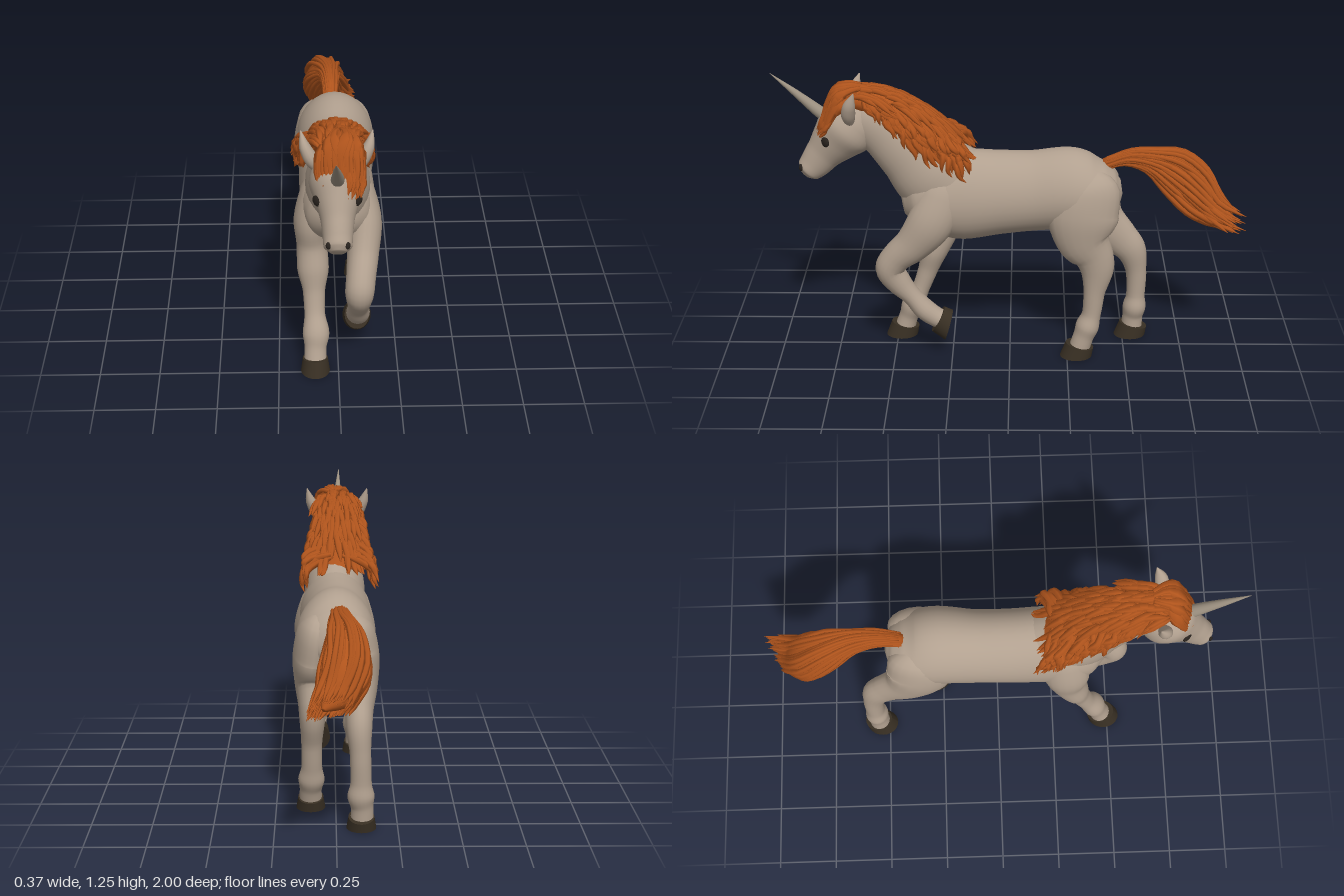
import * as THREE from 'three';
import { mergeGeometries } from 'three/addons/utils/BufferGeometryUtils.js';

const mat = (name, color) => {
  const m = new THREE.MeshStandardMaterial({ color });
  m.name = name;
  return m;
};

// Smooth closed skin through oval stations [x, y, z, radiusX, radiusN]; egg narrows the upper side.
function loft(stations, steps = 5, sides = 24, egg = 0) {
  const path = new THREE.CatmullRomCurve3(stations.map(s => new THREE.Vector3(s[0], s[1], s[2])));
  const radii = new THREE.CatmullRomCurve3(stations.map(s => new THREE.Vector3(s[3], s[4], 0)));
  const rings = (stations.length - 1) * steps, pos = [], index = [];
  for (let i = 0; i <= rings; i++) {
    const t = i / rings, c = path.getPoint(t), r = radii.getPoint(t), T = path.getTangent(t);
    const S = new THREE.Vector3(1, 0, 0).addScaledVector(T, -T.x).normalize();
    const N = new THREE.Vector3().crossVectors(T, S);
    for (let j = 0; j < sides; j++) {
      const a = j / sides * Math.PI * 2, sin = Math.sin(a);
      const p = c.clone()
        .addScaledVector(S, Math.cos(a) * Math.max(r.x, 0.001) * (1 - egg * sin))
        .addScaledVector(N, sin * Math.max(r.y, 0.001));
      pos.push(p.x, p.y, p.z);
      if (i < rings) {
        const k = (j + 1) % sides, u = i * sides, v = u + sides;
        index.push(u + j, u + k, v + k, u + j, v + k, v + j);
      }
    }
  }
  // end caps
  const first = pos.length / 3, a = path.getPoint(0), b = path.getPoint(1), last = rings * sides;
  pos.push(a.x, a.y, a.z, b.x, b.y, b.z);
  for (let j = 0; j < sides; j++) {
    const k = (j + 1) % sides;
    index.push(first, k, j, first + 1, last + j, last + k);
  }
  const g = new THREE.BufferGeometry();
  g.setAttribute('position', new THREE.Float32BufferAttribute(pos, 3));
  g.setIndex(index);
  g.computeVertexNormals();
  return g;
}

export function createModel() {
  const root = new THREE.Group();
  const coat = mat('coat', 0xb1a08f), hair = mat('hair', 0xb0541c), hoofMat = mat('hoof', 0x382f23);
  const hornMat = mat('horn', 0x9c9080), dark = mat('eyeDark', 0x29231e);
  let seed = 7;
  const rnd = () => (seed = (seed * 16807) % 2147483647) / 2147483647;
  const add = (name, geo, material, parent = root) => {
    const m = new THREE.Mesh(geo, material);
    m.name = name;
    parent.add(m);
    return m;
  };

  // Torso and neck
  add('torso', loft([
    [0, .755, -.475, .03, .03], [0, .752, -.455, .085, .075], [0, .748, -.41, .135, .117],
    [0, .745, -.35, .156, .152], [0, .75, -.25, .163, .177], [-.005, .735, -.1, .153, .175],
    [-.005, .727, .05, .153, .185], [0, .72, .2, .155, .2], [0, .715, .32, .15, .175],
    [0, .70, .4, .125, .135], [0, .69, .455, .06, .065],
  ], 5, 32, .1), coat);
  add('neck', loft([
    [0, .72, .18, .13, .19], [0, .81, .32, .133, .18], [0, .91, .42, .107, .147],
    [-.005, 1.0, .52, .085, .122], [-.01, 1.06, .61, .075, .1], [-.01, 1.09, .66, .04, .05],
  ], 5, 28), coat);

  // Head
  const head = new THREE.Group();
  head.name = 'head';
  head.position.x = -.012;
  root.add(head);
  add('skull', loft([
    [0, 1.1, .59, .04, .04], [0, 1.06, .64, .09, .105], [0, 1.01, .69, .108, .126],
    [0, .955, .74, .086, .104], [0, .9, .788, .065, .079], [0, .853, .826, .058, .068],
    [0, .823, .856, .054, .056], [0, .807, .872, .028, .03],
  ], 5, 28), coat, head);
  add('horn', loft([
    [0, 1.04, .745, .03, .03], [0, 1.09, .808, .025, .025], [-.005, 1.165, .898, .015, .015], [-.01, 1.247, 1, .001, .001],
  ], 4, 14), hornMat, head);
  for (const s of [-1, 1]) {
    const eye = add('eye', new THREE.SphereGeometry(.025, 16, 12), dark, head);
    eye.scale.set(.4, .9, 1);
    eye.position.set(s * .0755, .975, .772);
    eye.rotation.y = -s * .8;
    const nostril = add('nostril', new THREE.SphereGeometry(.014, 12, 8), dark, head);
    nostril.scale.set(.75, 1.1, .6);
    nostril.position.set(s * .037, .845, .884);
    nostril.rotation.y = s * .6;
    add('ear', loft([
      [s * .075, 1.06, .665, .02, .02], [s * .1, 1.105, .668, .028, .03],
      [s * .122, 1.15, .66, .022, .026], [s * .137, 1.208, .64, .002, .002],
    ], 4, 14), coat, head);
  }

  // Legs, from inside the shoulder or hip down to the pastern
  const legs = {
    frontRightLeg: [[-.05, .87, .26, .03, .03], [-.085, .76, .275, .064, .095], [-.108, .63, .29, .073, .1],
      [-.107, .51, .3, .064, .075], [-.103, .41, .335, .066, .062], [-.1, .32, .362, .047, .044],
      [-.098, .23, .395, .043, .039], [-.093, .15, .432, .056, .05], [-.096, .09, .453, .046, .042], [-.097, .03, .472, .048, .046]],
    frontLeftLeg: [[.05, .87, .26, .03, .03], [.085, .76, .28, .064, .095], [.107, .64, .33, .074, .1],
      [.102, .53, .41, .066, .08], [.092, .46, .485, .061, .066], [.086, .405, .515, .06, .063],
      [.085, .34, .48, .051, .055], [.085, .27, .42, .044, .041], [.085, .21, .37, .05, .046],
      [.085, .175, .325, .046, .044], [.085, .16, .295, .044, .042]],
    hindLeftLeg: [[.045, .85, -.32, .03, .04], [.08, .77, -.335, .077, .13], [.097, .66, -.31, .081, .152],
      [.1, .55, -.315, .07, .12], [.098, .47, -.36, .057, .085], [.097, .41, -.374, .053, .073], [.1, .3, -.364, .043, .046],
      [.1, .2, -.354, .043, .041], [.102, .14, -.337, .055, .051], [.105, .09, -.32, .046, .045],
      [.105, .03, -.302, .047, .046]],
    hindRightLeg: [[-.045, .85, -.32, .03, .04], [-.08, .77, -.335, .077, .13], [-.097, .67, -.335, .081, .145],
      [-.1, .56, -.39, .07, .112], [-.094, .48, -.475, .057, .083], [-.092, .42, -.528, .053, .068], [-.097, .32, -.555, .043, .046],
      [-.1, .2, -.557, .043, .041], [-.1, .14, -.553, .055, .051], [-.105, .09, -.547, .046, .045],
      [-.105, .03, -.543, .047, .046]],
  };
  for (const [name, stations] of Object.entries(legs)) add(name, loft(stations, 5, 20), coat);

  // Hooves: tapered drums leaning back, with the coronet falling towards the heel
  const hoofGeo = new THREE.CylinderGeometry(.053, .061, .064, 24, 1);
  const hp = hoofGeo.attributes.position;
  for (let i = 0; i < hp.count; i++) {
    const y = hp.getY(i), z = hp.getZ(i) * 1.14;
    if (y > 0) hp.setXYZ(i, hp.getX(i), .02 + .22 * z, z - .01);
    else hp.setZ(i, z + .006);
  }
  hoofGeo.computeVertexNormals();
  for (const [x, y, z, tilt] of [[-.097, .032, .478, 0], [.083, .147, .295, 1.3], [.105, .032, -.295, 0], [-.102, .032, -.54, 0]]) {
    const hoof = add('hoof', hoofGeo, hoofMat);
    hoof.position.set(x, y, z);
    hoof.rotation.x = tilt;
  }

  // Mane: solid core with locks swept back over both sides of the neck
  const mane = [loft([
    [-.01, .9, .19, .05, .025], [-.01, .935, .26, .09, .065], [-.01, 1.0, .35, .095, .08],
    [-.01, 1.07, .47, .085, .08], [-.01, 1.13, .59, .07, .05], [-.005, 1.14, .68, .06, .045],
    [0, 1.09, .745, .055, .035], [0, 1.03, .785, .025, .02],
  ], 4, 16)];
  for (let i = 0; i < 160; i++) {
    const t = (i + rnd()) / 160, s = i % 2 ? 1 : -1;
    const z = .65 - .42 * t, y = 1.175 - .2 * t ** 1.3, w = (s < 0 ? .09 + .065 * t : .058 + .064 * t) + rnd() * .02;
    const back = .05 + .08 * rnd() - .035 * t, drop = .06 + Math.min(t * 2, 1) * (.03 + .09 * rnd()) - .05 * t * t, x0 = -s * rnd() * .03 - .01;
    const wave = (rnd() - .5) * .04;
    mane.push(loft([
      [x0, y, z, .006, .006], [x0 + s * w * .6, y - drop * .2, z - back * .35 + wave, .015, .014],
      [s * w, y - drop * .65, z - back * .7 - wave, .016, .015],
      [s * (w + .012 * rnd()), y - drop, z - back, .01, .01],
      [s * (w + .02 * rnd()) - .008, y - drop - .03, z - back - .03 * rnd(), .001, .001],
    ], 3, 6));
  }
  // Locks lying along the crest
  const crest = (x, z) => 1.188 - 1.25 * (.63 - z) ** 2 - 4 * x * x;
  for (let i = 0; i < 110; i++) {
    const z = .25 + .44 * (i + rnd()) / 110, x = (rnd() - .5) * .15, lift = rnd() * .012, len = .09 + .05 * rnd();
    const drift = x * .5 + (rnd() - .5) * .05;
    mane.push(loft([0, .33, .66, 1].map((k, n) => {
      const px = x + drift * k, pz = Math.max(z - len * k, .14);
      return [px - .01, Math.max(crest(px, pz), .9) + lift - .01 * (k < .1), pz, [.005, .014, .013, .001][n], [.004, .012, .011, .001][n]];
    }), 3, 6));
  }
  add('mane', mergeGeometries(mane), hair);

  // Forelock falling around the horn
  const forelock = [];
  for (let i = 0; i < 34; i++) {
    const x = -.075 + .155 * i / 33, j = rnd() * .03, c = x * x * 4, curl = (rnd() - .5) * .03;
    forelock.push(loft([
      [x * .4, 1.175 + j, .62, .008, .008], [x * .8 - curl, 1.18 + j - c, .68, .014, .013],
      [x + curl, 1.125 + j - c, .752 - c, .014, .013], [x * 1.05 + .004, 1.065 - j - c, .79 - c, .011, .01],
      [x * .85 + .012 + curl, 1.02 - j + (x < 0 ? -x * .5 : 0), .812 - c, .001, .001],
    ], 3, 6));
  }
  add('forelock', mergeGeometries(forelock), hair);

  // Tail: core plus strands spread around it
  const tailCore = [
    [-.015, .85, -.4, .025, .025], [-.015, .882, -.5, .032, .03], [-.02, .866, -.6, .044, .045],
    [-.035, .808, -.7, .072, .08], [-.03, .72, -.8, .092, .085], [.005, .655, -.87, .075, .055], [.05, .615, -.93, .01, .01],
  ];
  const tail = [loft(tailCore, 4, 16)];
  for (let i = 0; i < 90; i++) {
    const a = i * 2.4, k = .75 + rnd() * .35, twist = .06 + .1 * rnd();
    const pts = tailCore.slice(0, 6).map(([x, y, z, rx, ry], n) => [
      x + Math.cos(a + n * twist) * rx * k + (rnd() - .5) * .004 * n,
      y + Math.sin(a + n * twist) * ry * k,
      z + Math.sin(a) * ry * -.5 * k,
      .006 + n * .0016, .006 + n * .0016,
    ]);
    const p = pts[5], far = .5 + Math.cos(a + .5) * .5;
    pts.push([p[0] + .02 + .02 * rnd(), Math.max(.585, p[1] - .05), Math.max(-1, p[2] - .03 - .08 * far * (.5 + rnd())), .001, .001]);
    tail.push(loft(pts, 3, 6));
  }
  add('tail', mergeGeometries(tail), hair);

  return root;
}
